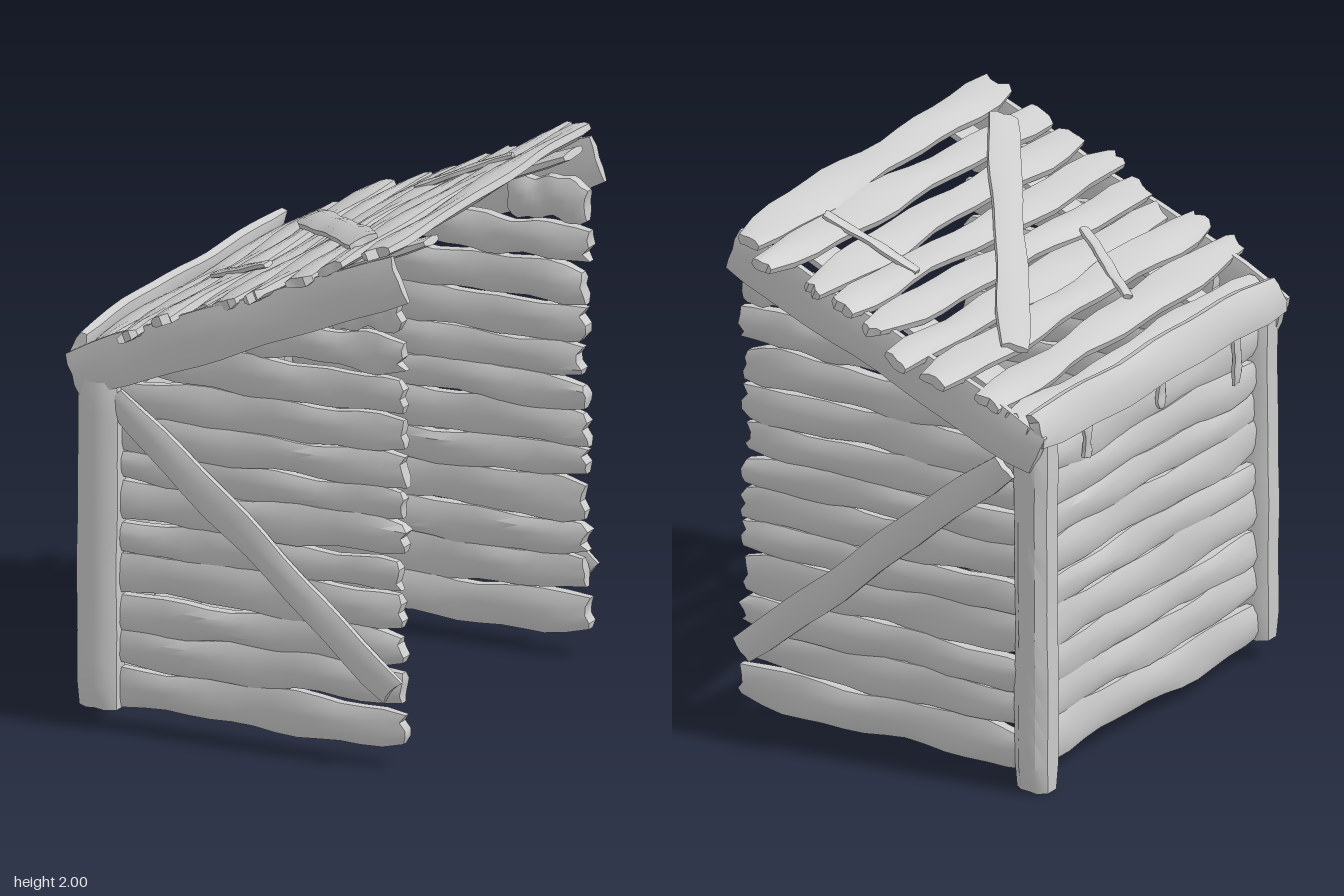
import * as THREE from 'three';
import { mergeVertices, toCreasedNormals } from 'three/addons/utils/BufferGeometryUtils.js';

let seed = 7;
function rnd() {
  seed = (seed * 16807) % 2147483647;
  return seed / 2147483647;
}
const V = (x, y, z) => new THREE.Vector3(x, y, z);

// A worn board: length on x, width on y, thickness on z, with wavy edges and ragged ends
function boardGeometry(len, w, t, rough) {
  const geo = new THREE.BoxGeometry(len, w, t, 14, 4, 2);
  geo.deleteAttribute('uv');
  geo.deleteAttribute('normal');
  const p = geo.attributes.position;
  const ph = Array.from({ length: 6 }, () => rnd() * 6.28);
  const ragged = Array.from({ length: 10 }, () => (rnd() - 0.6) * 0.035 * rough);
  for (let i = 0; i < p.count; i++) {
    const u = p.getX(i) / len, v = p.getY(i) / w, q = p.getZ(i) / t;
    const side = v > 0 ? 0 : 2;
    const wave = Math.sin(u * 9 + ph[side]) * 0.009 + Math.sin(u * 21 + ph[side + 1]) * 0.006;
    const end = Math.abs(u) > 0.499;
    const near = Math.abs(u) > 0.42;
    let x = u * len, y = v * w, z = q * t;
    y += wave * rough * 2 * Math.abs(v);
    if (Math.abs(v) > 0.49) z *= 0.55;
    if (near) y *= 1 - 0.06 * rough;
    if (end) {
      y *= 1 - 0.18 * rough;
      z *= 0.75;
      x += ragged[Math.round((v + 0.5) * 4) + (u > 0 ? 5 : 0)];
    }
    z += (Math.sin(u * 7 + ph[4]) + Math.sin(u * 13 + v * 4 + ph[5])) * 0.004 * rough;
    p.setXYZ(i, x, y, z);
  }
  return toCreasedNormals(mergeVertices(geo, 1e-4), 0.7);
}

export function createModel() {
  seed = 7;
  const model = new THREE.Group();
  const material = new THREE.MeshStandardMaterial({ color: 0xcccccc });

  // Lay a board from a to b with its broad face towards normal
  function board(parent, name, a, b, normal, w, t, rough = 1) {
    const X = b.clone().sub(a);
    const len = X.length();
    X.normalize();
    const Y = normal.clone().cross(X).normalize();
    const Z = X.clone().cross(Y);
    const mesh = new THREE.Mesh(boardGeometry(len, w, t, rough), material);
    mesh.name = name;
    mesh.quaternion.setFromRotationMatrix(new THREE.Matrix4().makeBasis(X, Y, Z));
    mesh.position.copy(a).add(b).multiplyScalar(0.5);
    parent.add(mesh);
  }
  function group(name) {
    const g = new THREE.Group();
    g.name = name;
    model.add(g);
    return g;
  }
  const faceZ = V(0, 0, 1), faceX = V(-1, 0, 0), faceRoof = V(-0.4, 0.92, 0);

  // Side walls: stacked boards cut off by the roof slope, with brace and sloped trim
  const rows = [[0.07, 0.22], [0.23, 0.37], [0.37, 0.5], [0.51, 0.66], [0.66, 0.78], [0.79, 0.93],
    [0.93, 1.05], [1.05, 1.18], [1.18, 1.32], [1.33, 1.47], [1.49, 1.62], [1.64, 1.79]];
  for (const [name, s, zWall, zTrim] of [['frontWall', 1, 0.78, 0.85], ['rearWall', -1, -0.72, -0.79]]) {
    const wall = group(name);
    for (const [y0, y1] of rows) {
      const y = (y0 + y1) / 2;
      const start = Math.max(-0.55, (y1 - 1.64) / 0.43);
      const sag = (rnd() - 0.5) * 0.015;
      board(wall, 'wallBoard', V(start, y - sag, zWall), V(0.65 + rnd() * 0.03, y + sag, zWall),
        faceZ, y1 - y0 + 0.005, 0.06 + rnd() * 0.02);
    }
    board(wall, 'diagonalBrace', V(-0.47, 1.25, zTrim - s * 0.015), V(0.65, 0.29, zTrim - s * 0.015),
      faceZ, 0.12, 0.04, 0.6);
    board(wall, 'slopedTrim', V(-0.63, 1.33, zTrim), V(0.68, 1.865, zTrim), faceZ, 0.19, 0.045, 0.5);
  }

  // Closed end wall between the posts
  const endWall = group('endWall');
  for (const [y0, y1] of rows.slice(0, 9)) {
    const y = (y0 + y1) / 2 + 0.005, sag = (rnd() - 0.5) * 0.015;
    board(endWall, 'wallBoard', V(-0.56, y - sag, -0.72), V(-0.56, y + sag, 0.8),
      faceX, y1 - y0 + 0.005, 0.06);
  }
  // Small strips hanging below the eave
  for (const [z, y] of [[0.58, 1.15], [0.07, 1.22], [-0.43, 1.2]]) {
    board(endWall, 'hangingStrip', V(-0.61, y, z), V(-0.61, 1.4, z), faceX, 0.045, 0.025, 0.4);
  }

  // Corner posts
  const posts = group('cornerPosts');
  board(posts, 'frontPost', V(-0.545, 0.07, 0.81), V(-0.54, 1.38, 0.81), faceZ, 0.16, 0.13, 0.25);
  board(posts, 'rearPost', V(-0.575, 0, -0.715), V(-0.575, 1.4, -0.72), faceZ, 0.14, 0.135, 0.25);

  // Roof: loose boards across the slope
  const roof = group('roof');
  const roofY = (x) => 1.69 + 0.44 * x;
  const roofPoint = (x, z, lift = 0) => V(x, roofY(x) + lift, z);
  const planks = [[-0.55, -0.79, -0.55, 0.83, 0.13], [-0.43, -0.82, -0.38, 0.94, 0.13],
    [-0.265, -0.92, -0.25, 0.91, 0.13], [-0.115, -0.93, -0.13, 0.83, 0.13],
    [0.04, -0.87, -0.015, 0.88, 0.12], [0.16, -0.87, 0.125, 0.94, 0.12],
    [0.285, -0.88, 0.285, 0.88, 0.13], [0.45, -0.95, 0.41, 0.86, 0.13],
    [0.56, -0.88, 0.59, 0.87, 0.14]];
  for (const [x0, z0, x1, z1, w] of planks) {
    const lift = (rnd() - 0.5) * 0.02;
    board(roof, 'roofBoard', roofPoint(x0, z0, lift), roofPoint(x1, z1, lift), faceRoof, w, 0.05, 1.2);
  }
  // Eave board at the low edge
  board(roof, 'eaveBoard', V(-0.625, 1.42, -0.8), V(-0.63, 1.42, 0.83), V(-0.95, 0.3, 0), 0.16, 0.06, 0.7);
  // Rafters under the boards
  for (const [z, w] of [[0.565, 0.11], [-0.6, 0.15]]) {
    board(roof, 'rafter', roofPoint(-0.58, z, -0.05), roofPoint(0.67, z, -0.05), faceRoof, w, 0.04, 0.3);
  }
  // Repair strips nailed on top
  board(roof, 'roofBrace', roofPoint(-0.34, -0.49, 0.045), roofPoint(0.45, 0.67, 0.045), faceRoof, 0.12, 0.035, 0.5);
  board(roof, 'roofStrip', roofPoint(0.11, -0.44, 0.035), roofPoint(0.48, -0.49, 0.035), faceRoof, 0.045, 0.025, 0.3);
  board(roof, 'roofStrip', roofPoint(-0.38, 0.21, 0.035), roofPoint(-0.07, 0.4, 0.035), faceRoof, 0.045, 0.025, 0.3);

  return model;
}
